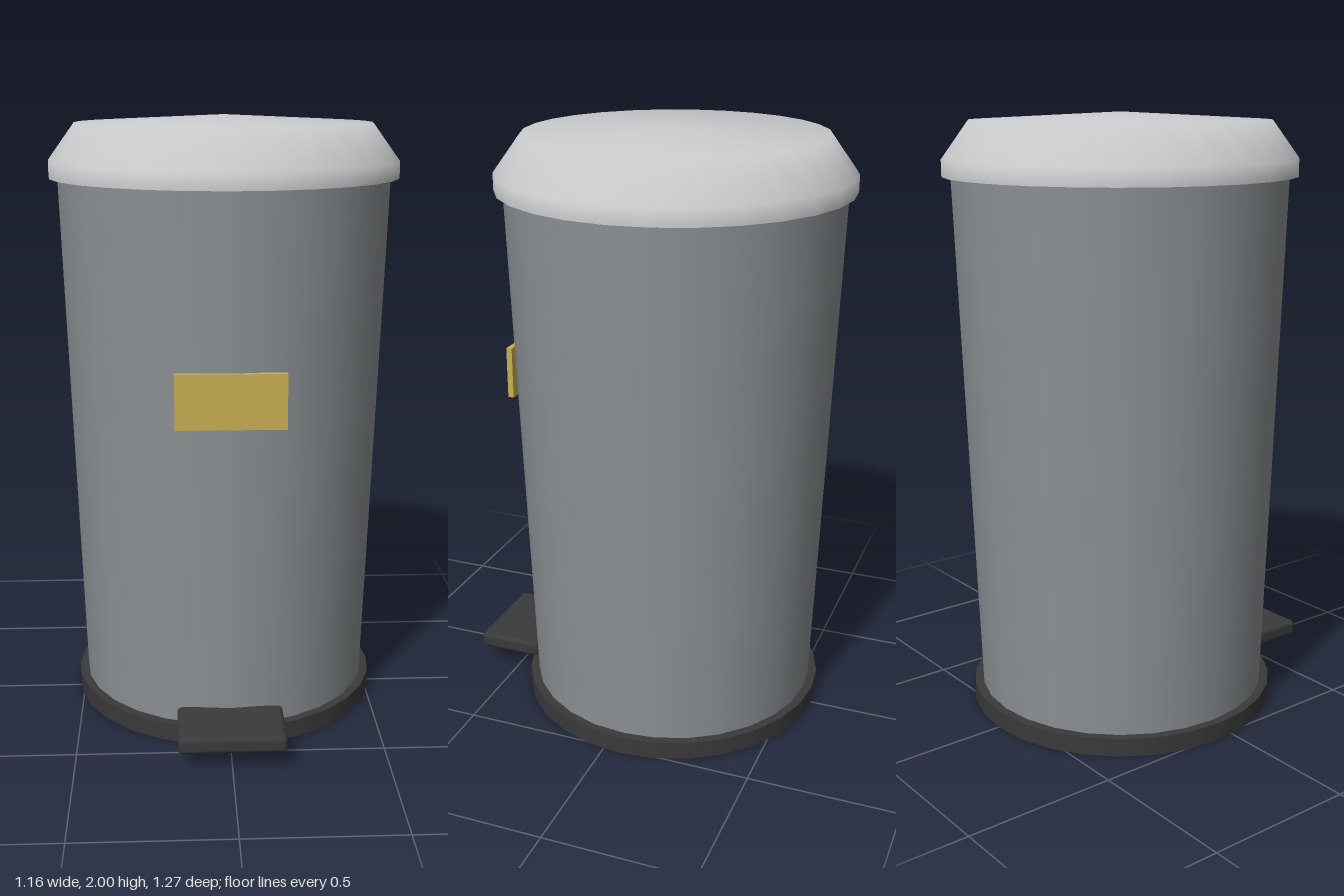
import * as THREE from 'three';
import { RoundedBoxGeometry } from 'three/addons/geometries/RoundedBoxGeometry.js';

const SIDES = 28;
const AXIS_Z = -0.06; // the bin sits back so that bin and pedal are centred together

function material(name, color) {
  const m = new THREE.MeshStandardMaterial({ color });
  m.name = name;
  return m;
}

export function createModel() {
  const group = new THREE.Group();
  group.name = 'pedalBin';

  const bodyGrey = material('bodyGrey', 0x8c9194);
  const lidGrey = material('lidGrey', 0xc9cbcd);
  const black = material('blackPlastic', 0x3a3a3a);
  const brass = material('brassPlate', 0xc9ae52);

  function add(name, geometry, mat, x, y, z) {
    const mesh = new THREE.Mesh(geometry, mat);
    mesh.name = name;
    mesh.position.set(x, y, z);
    group.add(mesh);
    return mesh;
  }
  const lathe = (pts) =>
    new THREE.LatheGeometry(pts.map(([r, y]) => new THREE.Vector2(r, y)), SIDES);

  // Base ring and tapered body
  add('base', new THREE.CylinderGeometry(0.52, 0.52, 0.06, SIDES), black, 0, 0.03, AXIS_Z);
  add('body', new THREE.CylinderGeometry(0.55, 0.49, 1.76, SIDES), bodyGrey, 0, 0.93, AXIS_Z);

  // Softly shaded lid with a short skirt, closed underneath
  add('lid', lathe([[0.578, 1.8], [0.578, 1.855], [0.49, 1.975], [0, 2]]), lidGrey, 0, 0, AXIS_Z);
  add('lidUnderside', lathe([[0, 1.8], [0.578, 1.8]]), lidGrey, 0, 0, AXIS_Z);

  // Foot pedal
  add('pedal', new RoundedBoxGeometry(0.345, 0.055, 0.227, 3, 0.015), black, 0, 0.0915, 0.5215);

  // Front plate, leaning with the taper of the body
  const plate = add('frontPlate', new THREE.BoxGeometry(0.346, 0.175, 0.02), brass, 0, 1.163, 0.471);
  plate.name = 'frontPlate';

  return group;
}
